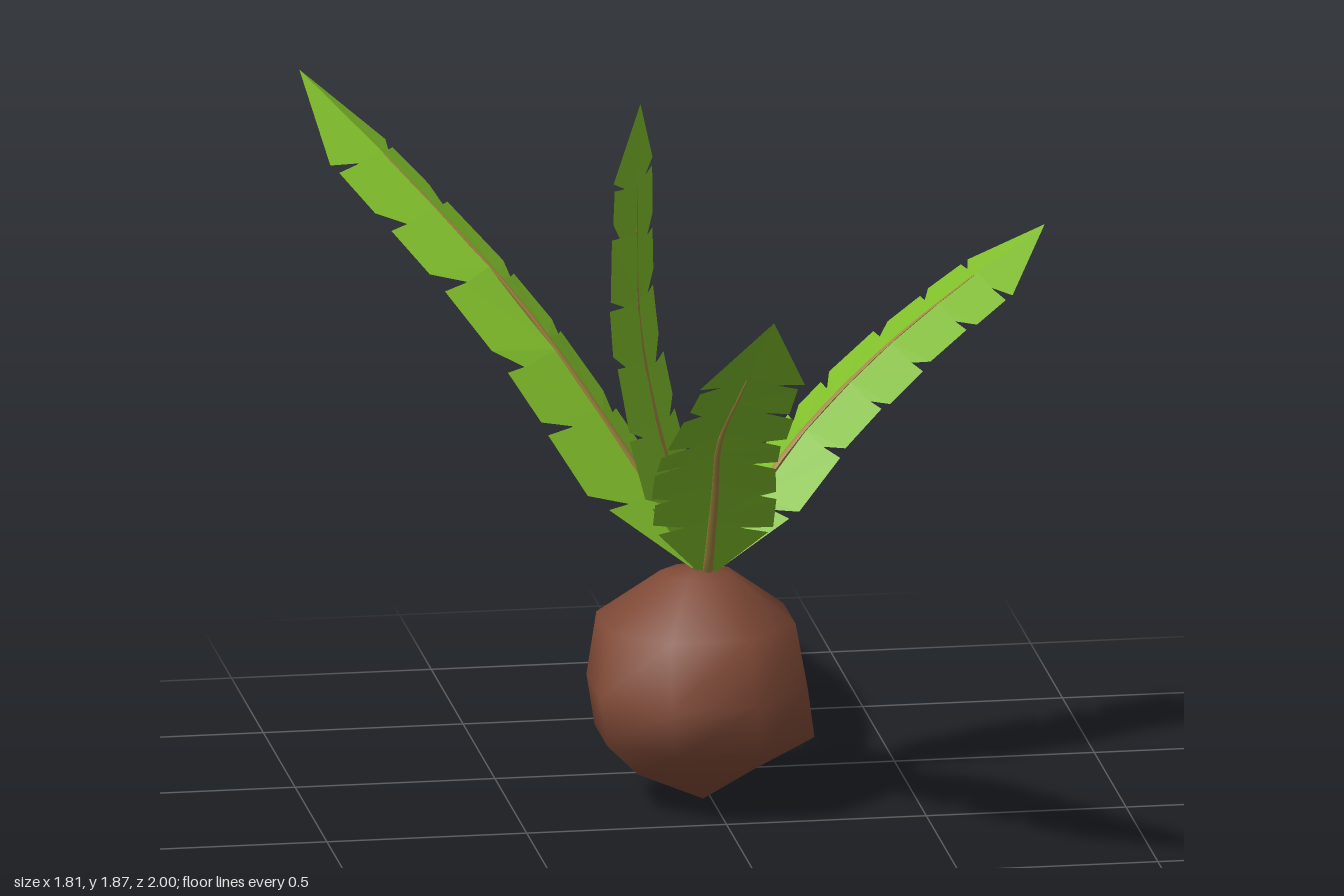
import * as THREE from 'three';

const V = (x, y, z) => new THREE.Vector3(x, y, z);

// Small seeded generator for the uneven leaf tears
function seeded(seed) {
  let s = seed;
  return () => (s = (s * 16807) % 2147483647) / 2147483647;
}

function bufferFrom(points, index) {
  const g = new THREE.BufferGeometry().setFromPoints(points);
  if (index) g.setIndex(index);
  g.computeVertexNormals();
  return g;
}

// Direction out of the leaf's upper face
const upward = (curve, side, t) => curve.getTangent(t).cross(side).normalize();

// Torn leaf blade: two roof-like halves made of panels separated by notches
function bladeGeometry(curve, side, halfWidths, droop, rand) {
  const tris = [];
  const place = (t, sign, w) => curve.getPoint(t)
    .addScaledVector(side, sign * w)
    .addScaledVector(upward(curve, side, t), -droop * w);
  [1, -1].forEach((sign, k) => {
    const width = t => halfWidths[k] * Math.min(1, 0.08 + t / 0.21) * (1 - 0.32 * t * t);
    const face = (...p) => {
      for (let i = 1; i < p.length - 1; i++) {
        tris.push(...(sign > 0 ? [p[0], p[i], p[i + 1]] : [p[0], p[i + 1], p[i]]));
      }
    };
    const count = 6;
    let t0 = 0;
    for (let i = 0; i < count; i++) {
      const t1 = 0.18 + 0.126 * i + (i < count - 1 ? (rand() - 0.5) * 0.04 : 0);
      const gap = i ? 0.022 + 0.025 * rand() : 0;
      const w = 0.93 + 0.12 * rand();
      const notch = 0.5 + 0.2 * rand();
      const outline = [
        place(t0, sign, 0), place(t1, sign, 0), place(t1, sign, width(t1) * 0.6),
        place(t1 + 0.006, sign, width(t1) * w), place(t0 + gap, sign, width(t0 + gap) * w),
      ];
      if (i) outline.push(place(t0, sign, width(t0) * notch));
      face(...outline);
      t0 = t1;
    }
    // Pointed end of the blade
    face(place(t0, sign, 0), curve.getPoint(1),
      place(t0 + 0.025, sign, width(t0) * 1.03), place(t0, sign, width(t0) * 0.55));
  });
  return bufferFrom(tris);
}

// Tapering stalk under the ridge, its top edge just showing above the blade
function midribGeometry(curve, side) {
  const part = new THREE.CatmullRomCurve3(Array.from({ length: 9 }, (_, i) => {
    const t = i / 8 * 0.8;
    return curve.getPoint(t).addScaledVector(upward(curve, side, t), -0.007 * (1 - t));
  }));
  const steps = 12, sides = 5;
  const g = new THREE.TubeGeometry(part, steps, 0.014, sides);
  const pos = g.attributes.position, v = V(0, 0, 0);
  for (let i = 0; i < pos.count; i++) {
    const u = Math.floor(i / (sides + 1)) / steps;
    v.fromBufferAttribute(pos, i).lerp(part.getPointAt(u), u * 0.85);
    pos.setXYZ(i, v.x, v.y, v.z);
  }
  g.computeVertexNormals();
  return g;
}

// Lumpy rounded base lofted from rings of [y, xMin, xMax, zMin, zMax]
function bulbGeometry() {
  const rings = [
    [0.08, -0.19, 0.10, -0.40, -0.12],
    [0.18, -0.28, 0.24, -0.46, 0.02],
    [0.31, -0.30, 0.22, -0.48, 0.06],
    [0.46, -0.27, 0.20, -0.49, -0.03],
    [0.58, -0.12, 0.05, -0.33, -0.17],
  ];
  const n = 8, points = [], index = [];
  for (const [y, x0, x1, z0, z1] of rings) {
    for (let i = 0; i < n; i++) {
      const a = (i + 0.5) / n * Math.PI * 2, r = 0.54;
      points.push(V((x0 + x1) / 2 + Math.cos(a) * r * (x1 - x0), y,
        (z0 + z1) / 2 + Math.sin(a) * r * (z1 - z0)));
    }
  }
  const bottom = points.push(V(-0.02, 0, -0.24)) - 1;
  const top = points.push(V(-0.03, 0.595, -0.25)) - 1;
  const last = (rings.length - 1) * n;
  for (let i = 0; i < n; i++) {
    const j = (i + 1) % n;
    for (let r = 0; r < last; r += n) {
      index.push(r + i, r + n + i, r + j, r + j, r + n + i, r + n + j);
    }
    index.push(bottom, i, j, top, last + j, last + i);
  }
  return bufferFrom(points, index);
}

export function createModel() {
  const leafGreen = new THREE.MeshStandardMaterial({ color: 0x80be2b, side: THREE.DoubleSide });
  const stalkTan = new THREE.MeshStandardMaterial({ color: 0xa0863f });
  const bulbBrown = new THREE.MeshStandardMaterial({ color: 0x804a37 });
  leafGreen.name = 'leafGreen';
  stalkTan.name = 'stalkTan';
  bulbBrown.name = 'bulbBrown';

  const model = new THREE.Group();
  model.name = 'plant';
  const bulb = new THREE.Mesh(bulbGeometry(), bulbBrown);
  bulb.name = 'bulb';
  model.add(bulb);

  // Each leaf: ridge points after the shared root, width direction, half widths, fold
  const leaves = [
    { name: 'backRightLeaf', side: V(-0.64, 0, 0.77), widths: [0.17, 0.15], droop: 0.36,
      path: [V(-0.2, 0.88, -0.38), V(-0.42, 1.2, -0.54), V(-0.68, 1.48, -0.78), V(-0.91, 1.7, -1)] },
    { name: 'leftLeaf', side: V(-0.39, 0.2, -0.9), widths: [0.13, 0.13], droop: 0.36,
      path: [V(0.19, 0.85, -0.32), V(0.42, 1.05, -0.42), V(0.66, 1.2, -0.53), V(0.9, 1.32, -0.65)] },
    { name: 'frontLeaf', side: V(1, 0, 0), widths: [0.16, 0.165], droop: 0.34,
      path: [V(-0.03, 0.85, 0), V(-0.055, 1.04, 0.22), V(-0.055, 1.27, 0.57), V(-0.04, 1.57, 1)] },
    { name: 'uprightLeaf', side: V(-0.5, 0, 0.86), widths: [0.165, 0.165], droop: 0.1,
      path: [V(-0.12, 0.9, -0.2), V(-0.195, 1.25, -0.13), V(-0.215, 1.58, -0.05), V(-0.22, 1.87, 0.03)] },
  ];
  leaves.forEach(({ name, side, widths, droop, path }, i) => {
    const curve = new THREE.CatmullRomCurve3([V(-0.01, 0.575, -0.25), ...path]);
    const leaf = new THREE.Group();
    leaf.name = name;
    const blade = new THREE.Mesh(
      bladeGeometry(curve, side, widths, droop, seeded(71 + i * 997)), leafGreen);
    blade.name = 'blade';
    const midrib = new THREE.Mesh(midribGeometry(curve, side), stalkTan);
    midrib.name = 'midrib';
    leaf.add(blade, midrib);
    model.add(leaf);
  });
  return model;
}
